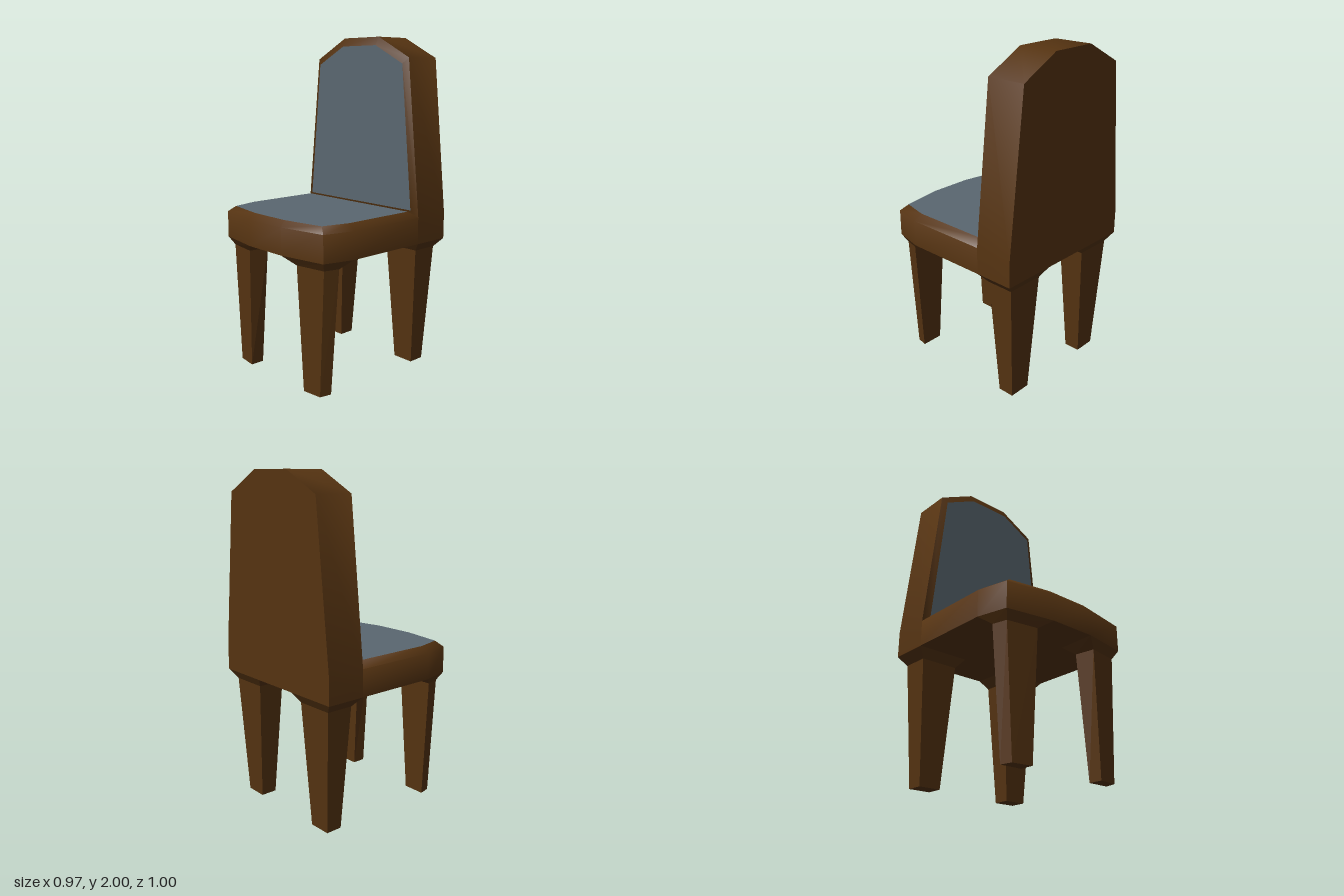
import * as THREE from 'three';
import { toCreasedNormals } from 'three/addons/utils/BufferGeometryUtils.js';

const wood = new THREE.MeshStandardMaterial({ color: 0x553311 });
wood.name = 'brown wood';
const fabric = new THREE.MeshStandardMaterial({ color: 0x5a6770 });
fabric.name = 'slate fabric';

// Rings placed in a horizontal or an upright plane
const flat = (y, pts) => pts.map(([x, z]) => [x, y, z]);
const upright = (z, pts) => pts.map(([x, y]) => [x, y, z]);
const mirrored = (pts) => pts.map(([x, ...rest]) => [-x, ...rest]).reverse();

// Fan across a convex ring
function cap(ring, flip = false) {
  const out = [];
  for (let i = 1; i < ring.length - 1; i++) {
    out.push(...ring[0], ...ring[flip ? i + 1 : i], ...ring[flip ? i : i + 1]);
  }
  return out;
}

// Skin between consecutive rings; an open skin leaves out the closing side
function skin(rings, open = false) {
  const out = [];
  for (let k = 0; k < rings.length - 1; k++) {
    const a = rings[k], b = rings[k + 1], n = a.length;
    for (let i = 0; i < (open ? n - 1 : n); i++) {
      const j = (i + 1) % n;
      out.push(...a[i], ...a[j], ...b[j], ...a[i], ...b[j], ...b[i]);
    }
  }
  return out;
}

function part(name, positions, material, crease = 0) {
  let geometry = new THREE.BufferGeometry();
  geometry.setAttribute('position', new THREE.Float32BufferAttribute(positions, 3));
  geometry.computeVertexNormals();
  if (crease) geometry = toCreasedNormals(geometry, crease);
  const mesh = new THREE.Mesh(geometry, material);
  mesh.name = name;
  return mesh;
}

export function createModel() {
  const chair = new THREE.Group();
  chair.name = 'chair';
  const crease = 1.05;

  // Seat: plan outline and the inset edge of its cushion
  const half = [[-0.485, -0.26], [-0.485, 0.265], [-0.44, 0.45], [-0.145, 0.5]];
  const halfInset = [[-0.435, -0.22], [-0.435, 0.255], [-0.395, 0.42], [-0.135, 0.465]];
  const outline = [...half, ...mirrored(half)];
  const seatBottom = flat(0.79, outline);
  const seatRim = flat(0.95, outline);
  const seatTop = flat(0.985, [...halfInset, ...mirrored(halfInset)]);
  chair.add(part('seatFrame', [
    ...skin([seatBottom, seatRim], true),
    ...skin([seatRim, seatTop]),
    ...cap(seatBottom, true),
  ], wood, crease));
  chair.add(part('seatCushion', cap(seatTop), fabric));

  // Backrest: tapered slab with an arched top and a bevel around the cushion
  const side = [[0.485, 0.95], [0.387, 1.875], [0.145, 2]];
  const sideInset = [[0.44, 0.99], [0.355, 1.84], [0.14, 1.95]];
  const arch = [...side, ...mirrored(side)];
  const slab = [[0.485, 0.79], ...arch, [-0.485, 0.79]];
  const backInset = upright(-0.24, [...sideInset, ...mirrored(sideInset)]);
  const rear = upright(-0.5, slab);
  chair.add(part('backrestFrame', [
    ...skin([rear, upright(-0.26, slab)]),
    ...skin([upright(-0.26, arch), backInset]),
    ...cap(rear, true),
  ], wood, crease));
  chair.add(part('backrestCushion', cap(backInset), fabric));

  // Legs: foot, top of the taper, flare under the seat
  const legs = {
    frontLeg: [
      flat(0, [[0.25, 0.345], [0.25, 0.43], [0.372, 0.415], [0.387, 0.345]]),
      flat(0.74, [[0.2, 0.33], [0.22, 0.45], [0.412, 0.42], [0.435, 0.33]]),
      flat(0.79, [[0.155, 0.265], [0.145, 0.5], [0.44, 0.45], [0.485, 0.265]]),
    ],
    backLeg: [
      flat(0, [[0.25, -0.435], [0.25, -0.335], [0.387, -0.335], [0.387, -0.435]]),
      flat(0.735, [[0.2, -0.465], [0.2, -0.3], [0.435, -0.3], [0.435, -0.465]]),
      flat(0.79, [[0.155, -0.5], [0.155, -0.26], [0.485, -0.26], [0.485, -0.5]]),
    ],
  };
  for (const [name, rings] of Object.entries(legs)) {
    for (const [suffix, set] of [['Left', rings], ['Right', rings.map(mirrored)]]) {
      chair.add(part(name + suffix, [...skin(set), ...cap(set[0], true)], wood));
    }
  }

  return chair;
}
